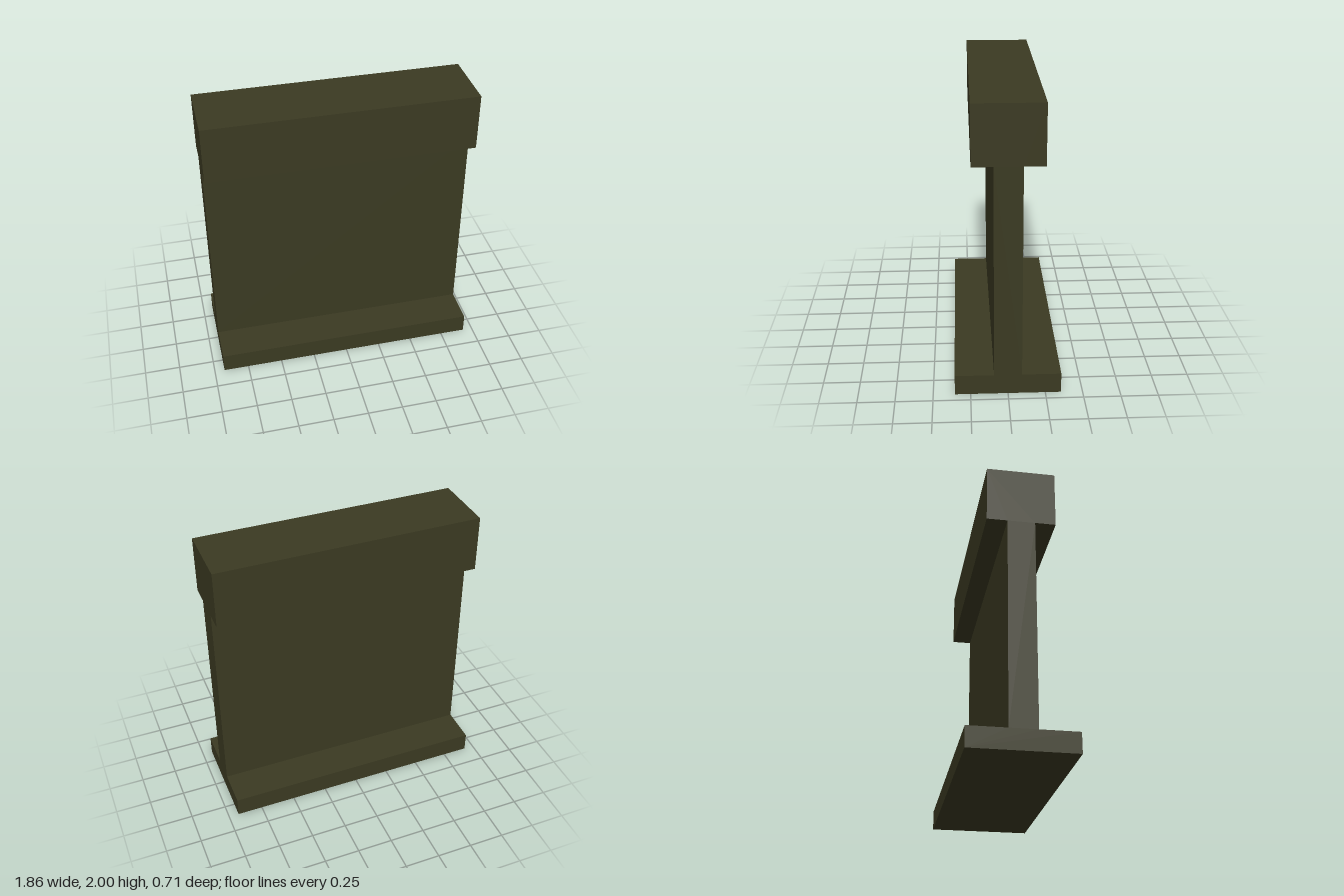
import * as THREE from 'three';

export function createModel() {
  const group = new THREE.Group();
  group.name = 'railSection';

  const oliveSteel = new THREE.MeshStandardMaterial({ color: 0x3b3a22 });
  oliveSteel.name = 'oliveSteel';

  // Half profile from the foot up to the head: [half width, height]
  const half = [
    [0.355, 0], [0.355, 0.14],   // foot
    [0.093, 0.14], [0.093, 1.6], // web
    [0.232, 1.6], [0.232, 2],    // head
  ];
  const mirrored = half.map(([w, y]) => [-w, y]).reverse();
  const profile = new THREE.Shape([...half, ...mirrored].map(([w, y]) => new THREE.Vector2(w, y)));

  // Sweep the profile along x
  const length = 1.858;
  const geometry = new THREE.ExtrudeGeometry(profile, { depth: length, bevelEnabled: false });
  geometry.translate(0, 0, -length / 2);
  geometry.rotateY(Math.PI / 2);

  const rail = new THREE.Mesh(geometry, oliveSteel);
  rail.name = 'railBeam';
  group.add(rail);
  return group;
}
